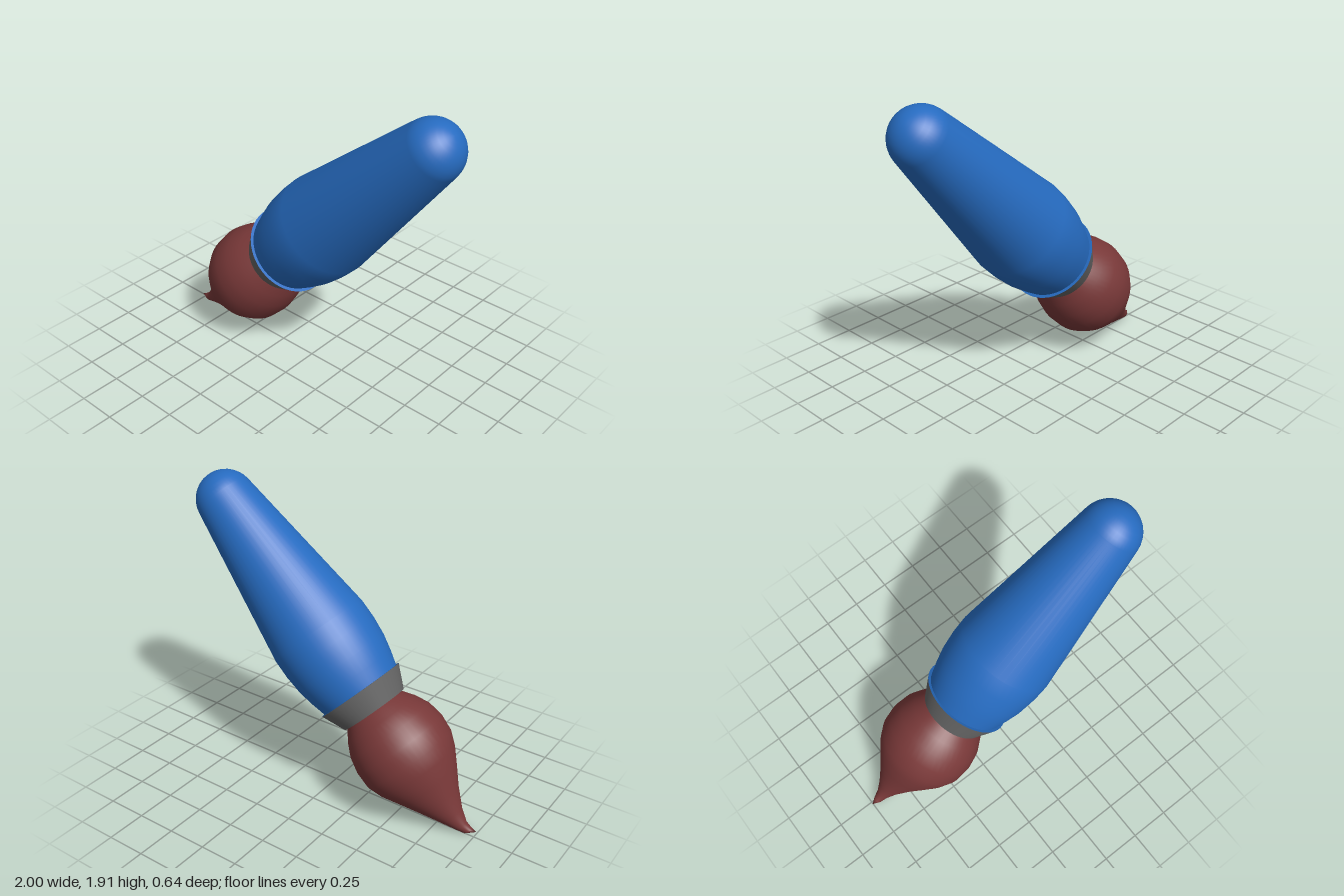
import * as THREE from 'three';
import { mergeVertices } from 'three/addons/utils/BufferGeometryUtils.js';

const SEGMENTS = 48;

// Smooth turned solid; each profile row is [height, radius, x shift, z shift], bottom to top
function turned(profile) {
  const geo = new THREE.LatheGeometry(profile.map(([y, r]) => new THREE.Vector2(r, y)), SEGMENTS);
  const pos = geo.attributes.position;
  for (let i = 0; i < pos.count; i++) {
    const [, , dx = 0, dz = 0] = profile[i % profile.length];
    pos.setX(i, pos.getX(i) + dx);
    pos.setZ(i, pos.getZ(i) + dz);
  }
  geo.deleteAttribute('normal');
  geo.deleteAttribute('uv');
  const welded = mergeVertices(geo, 1e-5);
  welded.computeVertexNormals();
  return welded;
}

export function createModel() {
  const handleBlue = new THREE.MeshStandardMaterial({ color: 0x266bc0 });
  const ferruleGrey = new THREE.MeshStandardMaterial({ color: 0x646464 });
  const bristleBrown = new THREE.MeshStandardMaterial({ color: 0x783838 });
  handleBlue.name = 'handleBlue';
  ferruleGrey.name = 'ferruleGrey';
  bristleBrown.name = 'bristleBrown';

  // The brush is built upright, with the top of the ferrule at y = 0, then tilted
  const brush = new THREE.Group();
  brush.name = 'paintbrush';
  const add = (name, geometry, material) => {
    const mesh = new THREE.Mesh(geometry, material);
    mesh.name = name;
    brush.add(mesh);
    return mesh;
  };

  // Handle: swollen grip, straight taper, rounded end
  const handleProfile = [
    [0, 0.262], [0.09, 0.286], [0.19, 0.307], [0.31, 0.318], [0.43, 0.318],
  ];
  const capRadius = 0.183, capCentre = 1.403, capStart = 0.136, capSteps = 8;
  for (let i = 0; i <= capSteps; i++) {
    const a = capStart + (Math.PI / 2 - capStart) * (i / capSteps);
    handleProfile.push([
      capCentre + capRadius * Math.sin(a),
      i === capSteps ? 0 : capRadius * Math.cos(a),
    ]);
  }
  add('handle', turned(handleProfile), handleBlue);

  // Ferrule: flared collar whose upper face matches the handle
  const ferruleHeight = 0.144;
  const ferrule = add(
    'ferrule',
    new THREE.CylinderGeometry(0.281, 0.216, ferruleHeight, SEGMENTS),
    [ferruleGrey, handleBlue, ferruleGrey],
  );
  ferrule.position.y = -ferruleHeight / 2;

  // Bristles: round belly drawn out to a tip that curls to one side
  const bristles = add('bristles', turned([
    [-0.94, 0, -0.085, 0.02],
    [-0.91, 0.027, -0.046, 0.012],
    [-0.86, 0.042, -0.027, 0.006],
    [-0.78, 0.078, -0.016, 0.002],
    [-0.66, 0.143, -0.009],
    [-0.555, 0.206, -0.008],
    [-0.45, 0.268, -0.004],
    [-0.36, 0.303, -0.004],
    [-0.255, 0.308, -0.007],
    [-0.155, 0.288, -0.007],
    [-0.07, 0.246, -0.004],
    [0, 0.196],
  ]), bristleBrown);
  bristles.position.y = -ferruleHeight;

  brush.rotation.z = -Math.PI / 4;
  brush.position.set(-0.178, 0.735, 0);

  const model = new THREE.Group();
  model.add(brush);
  return model;
}
